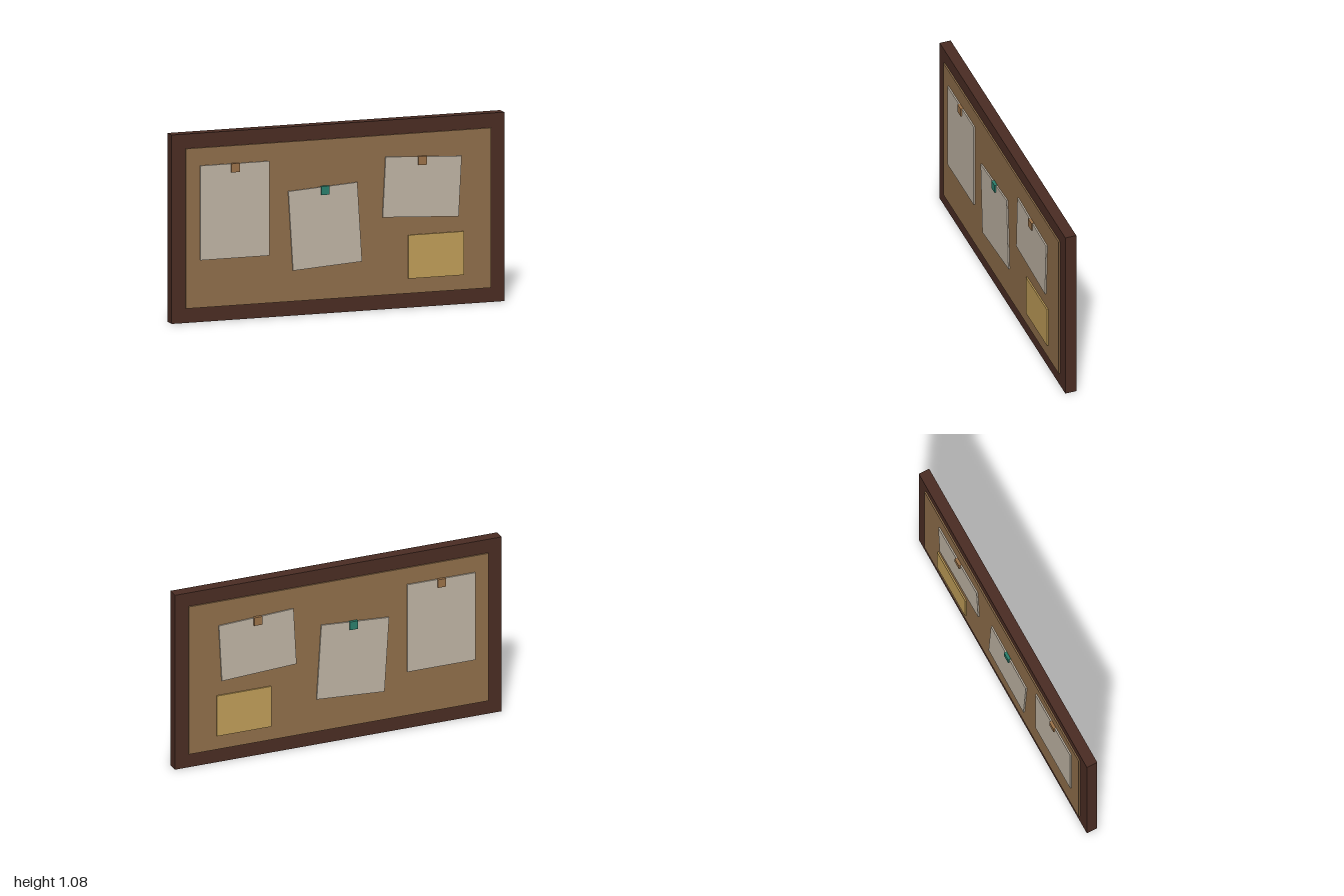
import * as THREE from 'three';

const material = (name, color) => {
  const m = new THREE.MeshStandardMaterial({ color });
  m.name = name;
  return m;
};

export function createModel() {
  const board = new THREE.Group();
  board.name = 'noticeBoard';

  const wood = material('dark wood', 0x4a2c23);
  const cork = material('cork', 0x8f6e4a);
  const paper = material('paper', 0xbfb4a4);
  const yellow = material('yellow paper', 0xbf9d58);
  const tan = material('tan pin', 0x9b7249);
  const teal = material('teal pin', 0x2a7f6c);

  // Slab centred on z = 0, so it shows on both faces of the board
  const slab = (name, mat, x, y, w, h, depth, tilt = 0) => {
    const mesh = new THREE.Mesh(new THREE.BoxGeometry(w, h, depth), mat);
    mesh.name = name;
    mesh.position.set(x, y, 0);
    mesh.rotation.z = tilt;
    board.add(mesh);
  };

  // Frame and cork panel
  slab('frame', wood, 0, 0.542, 2, 1.084, 0.066);
  slab('corkPanel', cork, 0, 0.542, 1.834, 0.917, 0.083);

  // Pinned sheets
  slab('tallSheet', paper, -0.625, 0.628, 0.415, 0.542, 0.1);
  slab('tiltedSheet', paper, -0.083, 0.502, 0.415, 0.457, 0.1, 0.062);
  slab('wideSheet', paper, 0.5, 0.692, 0.457, 0.346, 0.1, -0.053);
  slab('yellowNote', yellow, 0.584, 0.294, 0.333, 0.25, 0.1);

  // Pins
  const pins = [[-0.625, 0.875, tan], [-0.085, 0.71, teal], [0.5, 0.843, tan]];
  for (const [x, y, mat] of pins) slab('pin', mat, x, y, 0.05, 0.05, 0.117);

  return board;
}
